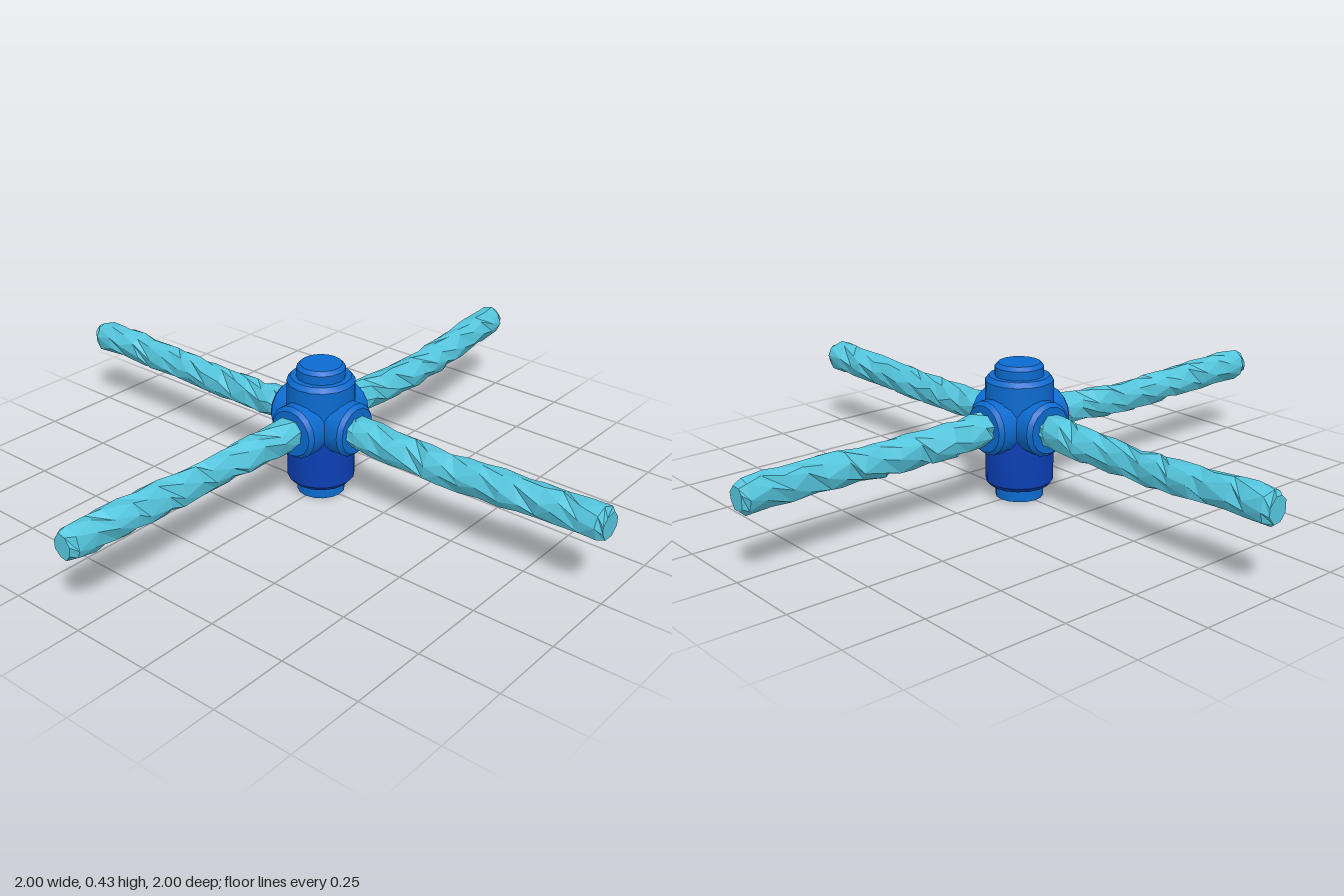
import * as THREE from 'three';
import { toCreasedNormals } from 'three/addons/utils/BufferGeometryUtils.js';

const MID = 0.245; // height of the arm axes
const START = 0.1; // where the arms begin inside the sockets
const RINGS = 15;
const SIDES = 8;

// Sideways drift and half-width of each arm, evenly spaced from socket to tip
const ARMS = [
  { side: 'left', axis: 'x', sign: 1,
    drift: [0, -0.007, 0, -0.003, -0.018, -0.03], width: [0.052, 0.052, 0.048, 0.047, 0.047, 0.042] },
  { side: 'right', axis: 'x', sign: -1,
    drift: [0, -0.012, -0.022, -0.024, -0.021, -0.03], width: [0.052, 0.047, 0.037, 0.043, 0.05, 0.042] },
  { side: 'front', axis: 'z', sign: 1,
    drift: [0, -0.006, -0.008, -0.005, 0.004, 0.002], width: [0.055, 0.052, 0.046, 0.05, 0.049, 0.055] },
  { side: 'back', axis: 'z', sign: -1,
    drift: [0, 0.002, 0.002, 0.008, 0, -0.001], width: [0.05, 0.05, 0.041, 0.043, 0.047, 0.048] },
];

function makeRandom(seed) {
  return () => {
    seed = (seed * 16807) % 2147483647;
    return seed / 2147483647;
  };
}

// Value at u (0 to 1) along evenly spaced samples
function sample(values, u) {
  const f = u * (values.length - 1);
  const i = Math.min(Math.floor(f), values.length - 2);
  return THREE.MathUtils.lerp(values[i], values[i + 1], f - i);
}

// Rough, faceted arm lofted along its axis with seeded jitter
function armGeometry({ axis, sign, drift, width }, seed) {
  const random = makeRandom(seed);
  const positions = [];
  const index = [];
  const handed = axis === 'z' ? sign : -sign; // keeps faces pointing outward

  for (let i = 0; i <= RINGS; i++) {
    const tip = i === RINGS;
    // The tip ring sits close to the one before it and is narrower, as a chamfer
    const t = tip ? 1 : START + (0.98 - START) * (i / (RINGS - 1));
    const u = (t - START) / (1 - START);
    const scale = tip ? 0.75 : 1;
    const height = 0.243 + 0.007 * Math.cos(7 * t);
    for (let j = 0; j < SIDES; j++) {
      const a = ((j + 0.5 * (i % 2) + (random() - 0.5) * 0.5) / SIDES) * Math.PI * 2;
      const r = scale * (0.94 + random() * 0.14);
      const along = sign * (t + (i < RINGS - 1 ? (random() - 0.5) * 0.03 : 0));
      const across = sample(drift, u) + sample(width, u) * r * Math.cos(a);
      const y = height + 0.051 * r * Math.sin(a) * handed;
      if (axis === 'x') positions.push(along, y, across);
      else positions.push(across, y, along);
    }
  }
  for (let i = 0; i < RINGS; i++) {
    for (let j = 0; j < SIDES; j++) {
      const a = i * SIDES + j;
      const b = i * SIDES + ((j + 1) % SIDES);
      index.push(a, b, b + SIDES, a, b + SIDES, a + SIDES);
    }
  }
  // End faces
  const last = RINGS * SIDES;
  for (let j = 1; j < SIDES - 1; j++) {
    index.push(0, j + 1, j, last, last + j, last + j + 1);
  }
  const geometry = new THREE.BufferGeometry();
  geometry.setAttribute('position', new THREE.Float32BufferAttribute(positions, 3));
  geometry.setIndex(index);
  const flat = geometry.toNonIndexed();
  flat.computeVertexNormals();
  return flat;
}

// Round part from a [radius, height] profile
function turned(points) {
  const profile = points.map(([r, y]) => new THREE.Vector2(r, y));
  return toCreasedNormals(new THREE.LatheGeometry(profile, 16), 0.5);
}

function material(name, color) {
  const m = new THREE.MeshStandardMaterial({ color });
  m.name = name;
  return m;
}

export function createModel() {
  const model = new THREE.Group();
  model.name = 'fourArmHub';

  const blue = material('blue', 0x0b6bd0);
  const darkBlue = material('darkBlue', 0x0b3fb4);
  const aqua = material('aqua', 0x55c6de);

  const add = (name, geometry, mat) => {
    const mesh = new THREE.Mesh(geometry, mat);
    mesh.name = name;
    model.add(mesh);
    return mesh;
  };

  // Central hub, bottom to top
  add('foot', turned([[0, 0], [0.075, 0], [0.075, 0.045]]), blue);
  add('lowerBody', turned([[0, 0.04], [0.094, 0.04], [0.106, 0.054], [0.106, 0.215]]), darkBlue);
  add('upperBody', turned([[0.106, 0.215], [0.106, 0.375], [0.094, 0.39], [0, 0.39]]), blue);
  add('topCap', turned([[0.076, 0.385], [0.076, 0.418], [0.065, 0.43], [0, 0.43]]), blue);

  // One socket and arm on each side
  const socketGeometry = turned([[0.085, 0], [0.085, 0.13], [0.073, 0.143], [0, 0.143]]);
  ARMS.forEach((arm, i) => {
    const socket = add(`${arm.side}Socket`, socketGeometry, blue);
    socket.position.y = MID;
    if (arm.axis === 'x') socket.rotation.z = (-arm.sign * Math.PI) / 2;
    else socket.rotation.x = (arm.sign * Math.PI) / 2;
    add(`${arm.side}Arm`, armGeometry(arm, 1237 + i * 7919), aqua);
  });

  return model;
}
